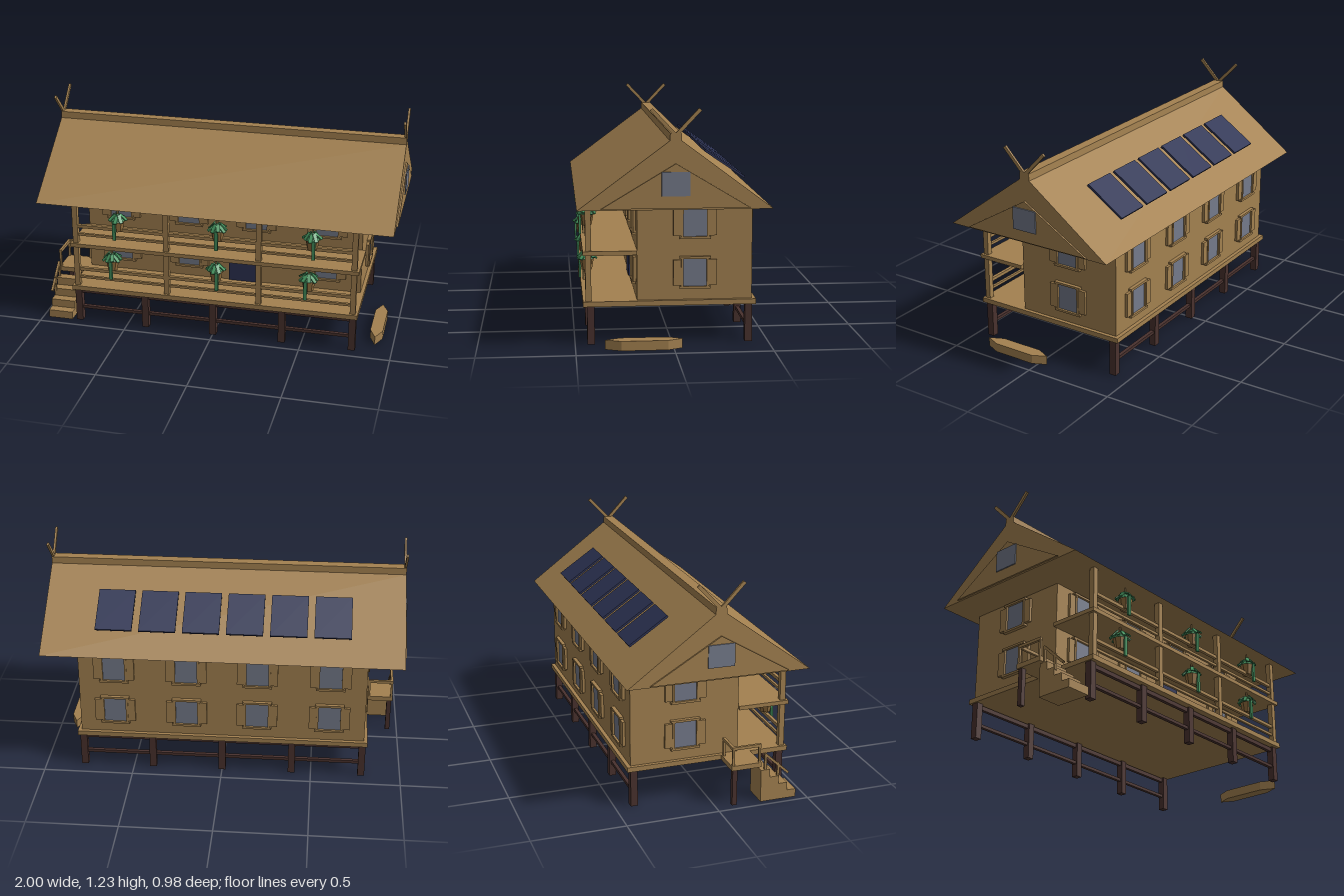
import * as THREE from 'three';

const mat = (name, color, opts = {}) => {
  const m = new THREE.MeshStandardMaterial({ color, ...opts });
  m.name = name;
  return m;
};

export function createModel() {
  const wood = mat('wood', 0xa38150);
  const darkWood = mat('dark wood', 0x4a322e);
  const glass = mat('window glass', 0x757b8b);
  const navy = mat('navy panel', 0x2d3354);
  const leaf = mat('leaf green', 0x45935f, { flatShading: true });
  const clay = mat('pot brown', 0x94703f, { flatShading: true });

  const house = new THREE.Group();
  house.name = 'stiltHouse';

  const add = (name, geo, material, parent = house) => {
    const m = new THREE.Mesh(geo, material);
    m.name = name;
    parent.add(m);
    return m;
  };
  // box from min/max corners
  const box = (name, [x0, x1], [y0, y1], [z0, z1], material = wood, parent = house) => {
    const m = add(name, new THREE.BoxGeometry(x1 - x0, y1 - y0, z1 - z0), material, parent);
    m.position.set((x0 + x1) / 2, (y0 + y1) / 2, (z0 + z1) / 2);
    return m;
  };
  // square bar between two points in a plane of constant x
  const barZY = (name, x, w, t, [z0, y0], [z1, y1], material = wood) => {
    const m = add(name, new THREE.BoxGeometry(w, t, Math.hypot(z1 - z0, y1 - y0)), material);
    m.position.set(x, (y0 + y1) / 2, (z0 + z1) / 2);
    m.rotation.x = -Math.atan2(y1 - y0, z1 - z0);
    return m;
  };
  // [z, y] outline extruded along x
  const extrudeX = (name, pts, x0, x1, material = wood) => {
    const shape = new THREE.Shape(pts.map(([z, y]) => new THREE.Vector2(-z, y)));
    const geo = new THREE.ExtrudeGeometry(shape, { depth: x1 - x0, bevelEnabled: false });
    geo.rotateY(Math.PI / 2).translate(x0, 0, 0);
    return add(name, geo, material);
  };

  // stilts and their tie beams
  for (const z of [0.418, -0.398]) {
    for (let i = 0; i < 5; i++) {
      const x = -0.782 + i * 0.391;
      box('stilt', [x - 0.019, x + 0.019], [0, 0.2], [z - 0.019, z + 0.019], darkWood);
    }
    for (const [y0, y1] of [[0.073, 0.09], [0.172, 0.195]])
      box('tieBeam', [-0.78, 0.78], [y0, y1], [z - 0.01, z + 0.01], darkWood);
  }

  // floors and body
  box('platform', [-0.81, 0.81], [0.2, 0.227], [-0.436, 0.458]);
  box('walls', [-0.79, 0.79], [0.227, 0.73], [-0.415, 0.18]);
  box('balconyFloor', [-0.81, 0.81], [0.467, 0.489], [0.18, 0.458]);
  box('door', [0.037, 0.197], [0.227, 0.447], [0.18, 0.188], navy);

  // veranda columns and rails
  for (const x of [-0.782, -0.26, 0.26, 0.782])
    box('verandaColumn', [x - 0.015, x + 0.015], [0.227, 0.73], [0.415, 0.445]);
  for (const floor of [0.227, 0.489]) {
    box('topRail', [-0.78, 0.78], [floor + 0.09, floor + 0.108], [0.421, 0.439]);
    box('midRail', [-0.78, 0.78], [floor + 0.042, floor + 0.056], [0.423, 0.437]);
  }

  // shuttered windows, built facing +z then turned to their wall
  const addWindow = (x, y, z, turn) => {
    const w = new THREE.Group();
    w.name = 'window';
    box('pane', [-0.06, 0.06], [-0.073, 0.073], [0, 0.008], glass, w);
    for (const s of [-1, 1]) {
      box('frameBar', [-0.08, 0.08], [s * 0.078 - 0.006, s * 0.078 + 0.006], [0, 0.02], wood, w);
      box('shutter', [s * 0.086 - 0.026, s * 0.086 + 0.026], [-0.067, 0.067], [0, 0.015], wood, w);
      box('frameSide', [s * 0.066 - 0.006, s * 0.066 + 0.006], [-0.073, 0.073], [0, 0.019], wood, w);
    }
    w.position.set(x, y, z);
    w.rotation.y = turn;
    house.add(w);
  };
  for (const y of [0.37, 0.63]) {
    for (const x of [-0.593, -0.195, 0.195, 0.593]) {
      addWindow(x, y, -0.415, Math.PI);
      if (y > 0.5 || x !== 0.195) addWindow(x, y, 0.18, 0);
    }
    for (const s of [-1, 1]) addWindow(s * 0.79, y, -0.118, s * Math.PI / 2);
  }

  // roof with raised ridge cap
  extrudeX('roof', [[0.49, 0.727], [0.03, 1.07], [0.028, 1.107], [-0.028, 1.107], [-0.03, 1.07], [-0.49, 0.727]],
    -0.985, 0.985);
  for (const s of [-1, 1]) {
    const span = (a, b) => (s > 0 ? [a, b] : [-b, -a]);
    extrudeX('gablePanel', [[0.372, 0.735], [0, 0.958], [-0.372, 0.735]], ...span(0.985, 0.994));
    box('gableWindow', span(0.992, 1), [0.797, 0.917], [-0.071, 0.071], glass);
    // crossed ridge horns
    for (const d of [-1, 1])
      barZY('ridgeHorn', s * 0.979, 0.012, 0.018, [-d * 0.01, 1.085], [d * 0.121, 1.224]);
  }

  // solar panels on the rear slope
  for (let i = 0; i < 6; i++)
    barZY('solarPanel', -0.595 + i * 0.2375, 0.2, 0.012, [-0.387, 0.846], [-0.179, 0.988], navy);

  // entrance stairs, landing and handrails
  const steps = [[0.445, 0]];
  for (let i = 0; i < 4; i++)
    steps.push([0.445 - i * 0.05, (i + 1) * 0.045], [0.395 - i * 0.05, (i + 1) * 0.045]);
  steps.push([0.245, 0]);
  extrudeX('stairs', steps, -0.965, -0.825);
  box('landing', [-0.965, -0.8], [0.2, 0.227], [0.08, 0.245]);
  box('landingPost', [-0.958, -0.932], [0, 0.2], [0.088, 0.114], darkWood);
  const post = (x, y0, y1, z) => box('railPost', [x - 0.006, x + 0.006], [y0, y1], [z - 0.006, z + 0.006]);
  post(-0.957, 0.227, 0.325, 0.236);
  post(-0.957, 0.227, 0.325, 0.09);
  post(-0.826, 0.227, 0.325, 0.09);
  post(-0.957, 0.12, 0.21, 0.343);
  post(-0.957, 0.18, 0.27, 0.27);
  box('landingRail', [-0.964, -0.95], [0.315, 0.331], [0.083, 0.243]);
  box('landingBackRail', [-0.964, -0.82], [0.315, 0.331], [0.083, 0.097]);
  barZY('stairRail', -0.957, 0.013, 0.013, [0.4, 0.145], [0.266, 0.27]);

  // hanging plants
  const addPlant = (x, y, k) => {
    const p = new THREE.Group();
    p.name = 'hangingPlant';
    const pot = add('pot', new THREE.CylinderGeometry(0.038, 0.027, 0.06, 8), clay, p);
    pot.position.y = -0.025;
    const crown = add('crown', new THREE.ConeGeometry(0.04, 0.045, 7), leaf, p);
    crown.position.y = 0.028;
    for (let i = 0; i < 9; i++) {
      const arm = new THREE.Group();
      arm.name = 'leafArm';
      arm.rotation.y = i * Math.PI * 2 / 9 + k;
      const l = add('leaf', new THREE.BoxGeometry(0.02, 0.007, 0.05), leaf, arm);
      l.position.set(0, 0.02 + (i % 3) * 0.005, 0.034);
      l.rotation.x = 0.6 + (i % 2) * 0.25;
      p.add(arm);
    }
    box('trailingVine', [-0.009, 0.009], [-0.1, 0.01], [0.03, 0.042], leaf, p).position.x = (k % 3 - 1) * 0.012;
    box('hanger', [-0.004, 0.004], [0.03, 0.075], [-0.004, 0.004], wood, p);
    p.position.set(x, y, 0.43);
    house.add(p);
  };
  [-0.535, 0.03, 0.55].forEach((x, i) => addPlant(x, 0.638, i));
  [-0.575, 0.02, 0.535].forEach((x, i) => addPlant(x, 0.395, i + 1));

  // small boat with pointed ends
  const hull = new THREE.Shape([[0, 0.35], [-0.035, 0.27], [-0.035, 0.03], [0, -0.045], [0.035, 0.03], [0.035, 0.27]]
    .map(([x, z]) => new THREE.Vector2(x, -z)));
  const boat = add('boat', new THREE.ExtrudeGeometry(hull, { depth: 0.05, bevelEnabled: false }), wood);
  boat.rotation.x = -Math.PI / 2;
  boat.position.x = 0.9;

  return house;
}
